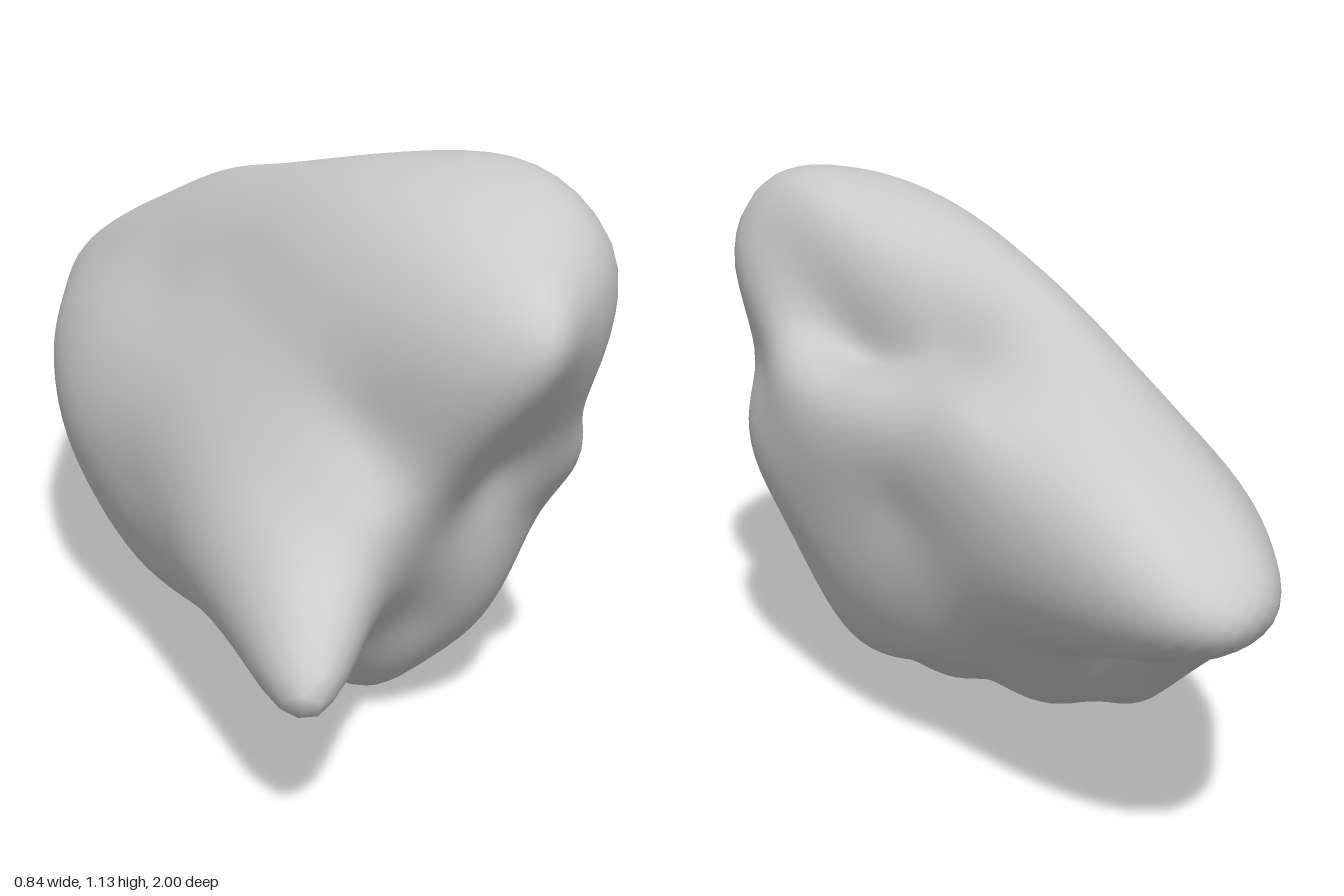
import * as THREE from 'three';
import { mergeVertices } from 'three/addons/utils/BufferGeometryUtils.js';

const CENTRE = new THREE.Vector3(0, 0.55, 0.1);
const STRETCH = new THREE.Vector3(0.42, 0.56, 1);

// Landmarks the smooth skin passes through, grouped by region (x, y, z)
const LANDMARKS = {
  tail: [
    [-0.06, 0.55, -1], [-0.06, 0.67, -0.91], [-0.06, 0.475, -0.92], [-0.18, 0.56, -0.93], [0.06, 0.56, -0.94],
    [-0.05, 0.83, -0.6], [-0.35, 0.55, -0.55], [0.22, 0.64, -0.59], [-0.06, 0.4, -0.63],
    [0.18, 0.78, -0.58], [0.14, 0.69, -0.77], [-0.25, 0.71, -0.55],
  ],
  back: [
    [-0.03, 0.97, -0.22], [0.15, 0.85, -0.15], [-0.27, 0.75, -0.1], [0.03, 1.05, 0.1],
    [0.2, 0.82, 0.06], [0.28, 0.82, 0.24], [-0.19, 0.87, 0.2],
  ],
  // Lip of the right flank, running forward from the tail and down the front
  lip: [
    [0.23, 0.82, -0.38], [0.275, 0.79, -0.22], [0.31, 0.78, -0.02], [0.37, 0.79, 0.27],
    [0.385, 0.75, 0.45], [0.38, 0.54, 0.58], [0.3, 0.46, 0.6],
  ],
  flanks: [
    [-0.42, 0.45, -0.18], [0.3, 0.58, -0.2], [0.38, 0.5, 0.1], [-0.39, 0.42, 0.15],
    [0.415, 0.5, 0.38], [-0.25, 0.69, 0.5], [-0.39, 0.38, 0.5], [0.31, 0.3, 0.45],
  ],
  belly: [
    [-0.2, 0.09, -0.2], [-0.03, 0.11, -0.2], [0.2, 0.23, -0.18], [-0.15, 0.2, -0.4], [0.12, 0.35, -0.45],
    [-0.1, 0.13, -0.02], [0.1, 0.13, 0.02], [0.23, 0.11, 0.28], [0.02, 0, 0.3], [-0.1, 0.06, 0.25],
    [-0.28, 0.17, 0.25], [-0.18, 0.23, 0.6], [0.03, 0.23, 0.59],
  ],
  spike: [
    [-0.36, 0.29, 0.955], [-0.28, 0.41, 0.88], [-0.36, 0.25, 0.8], [-0.39, 0.33, 0.8], [-0.2, 0.34, 0.85],
    [-0.19, 0.53, 0.78], [0, 0.49, 0.74], [0.15, 0.59, 0.71], [-0.13, 0.71, 0.7], [-0.3, 0.53, 0.66],
  ],
  head: [
    [0.15, 1.12, 0.42], [0.385, 0.92, 0.5], [0.3, 1.06, 0.4], [-0.1, 1, 0.45], [0.1, 0.9, 1], [0.13, 1.05, 0.82],
    [0.33, 0.9, 0.78], [0.12, 0.74, 0.87], [-0.05, 0.9, 0.85],
  ],
};

// Multiquadric kernel between two directions
const kernel = (a, b) => Math.sqrt(a.distanceToSquared(b) + 0.03);

// Gaussian elimination with pivoting; each row ends with its right-hand side
function solve(rows) {
  const n = rows.length;
  for (let i = 0; i < n; i++) {
    let p = i;
    for (let r = i + 1; r < n; r++) if (Math.abs(rows[r][i]) > Math.abs(rows[p][i])) p = r;
    [rows[i], rows[p]] = [rows[p], rows[i]];
    for (let r = i + 1; r < n; r++) {
      const f = rows[r][i] / rows[i][i];
      for (let c = i; c <= n; c++) rows[r][c] -= f * rows[i][c];
    }
  }
  const w = new Array(n).fill(0);
  for (let i = n - 1; i >= 0; i--) {
    let s = rows[i][n];
    for (let c = i + 1; c < n; c++) s -= rows[i][c] * w[c];
    w[i] = s / rows[i][i];
  }
  return w;
}

// Smooth radius for every direction, exact at the landmarks
function makeRadius() {
  const points = Object.values(LANDMARKS).flat()
    .map((p) => new THREE.Vector3(...p).sub(CENTRE).divide(STRETCH));
  const radii = points.map((p) => p.length());
  const dirs = points.map((p) => p.clone().normalize());
  const weights = solve(dirs.map((d, i) => [...dirs.map((e) => kernel(d, e)), radii[i] - 1]));
  return (dir) => dirs.reduce((sum, d, i) => sum + weights[i] * kernel(dir, d), 1);
}

export function createModel() {
  const group = new THREE.Group();
  group.name = 'boulder';

  // Sphere pushed in and out along its radii
  let geometry = new THREE.IcosahedronGeometry(1, 22);
  geometry.deleteAttribute('normal');
  geometry.deleteAttribute('uv');
  geometry = mergeVertices(geometry);
  const radius = makeRadius();
  const pos = geometry.attributes.position;
  const v = new THREE.Vector3();
  for (let i = 0; i < pos.count; i++) {
    v.fromBufferAttribute(pos, i).normalize();
    v.multiplyScalar(radius(v)).multiply(STRETCH).add(CENTRE);
    pos.setXYZ(i, v.x, v.y, v.z);
  }
  geometry.computeVertexNormals();

  const rock = new THREE.Mesh(geometry, new THREE.MeshStandardMaterial({ color: 0xcccccc }));
  rock.name = 'rock';
  group.add(rock);
  return group;
}
